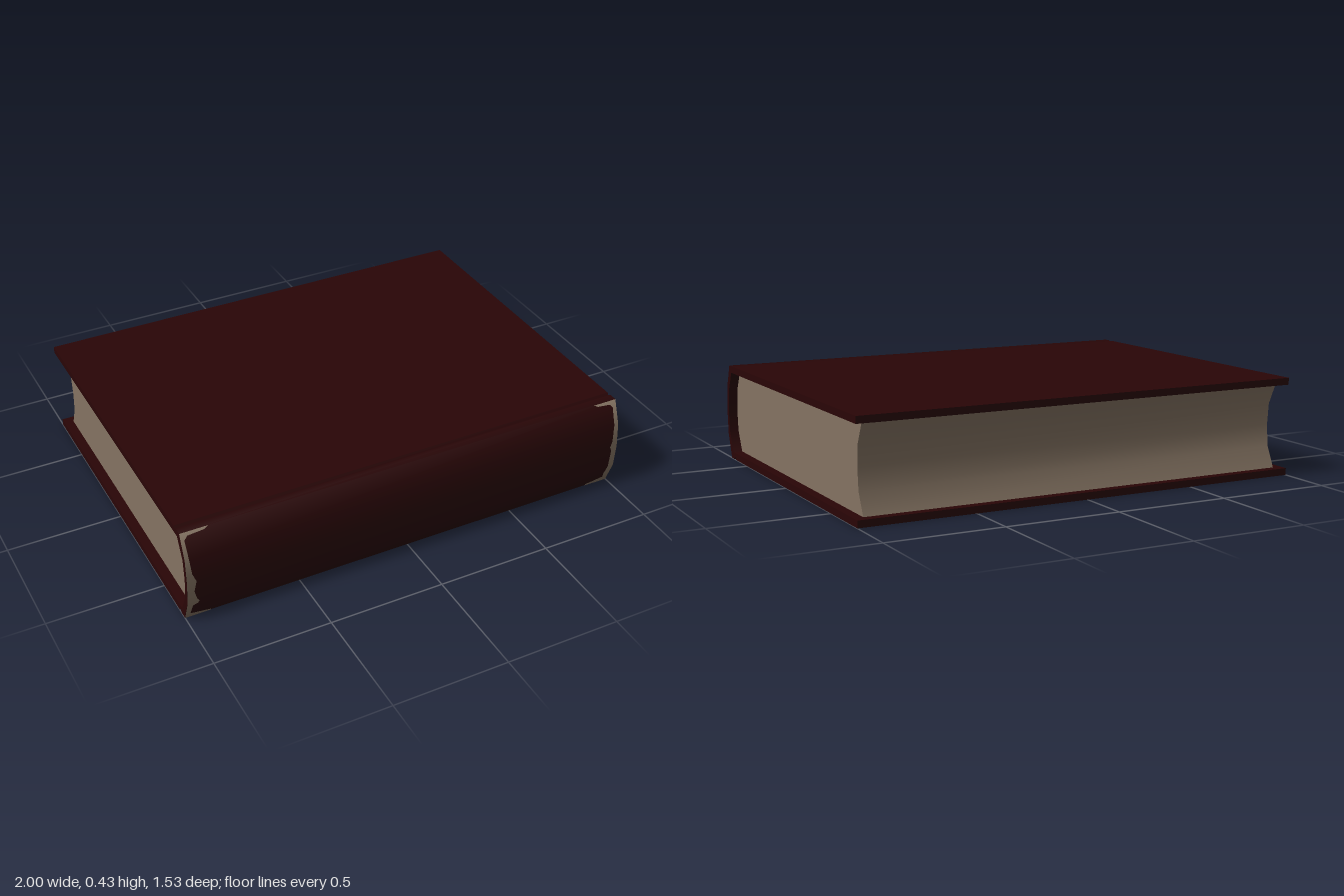
import * as THREE from 'three';
import { toCreasedNormals } from 'three/addons/utils/BufferGeometryUtils.js';

const H = 0.425;    // total height
const BOARD = 0.03; // cover board thickness
const BACK = -0.763;
const HINGE = 0.67; // depth of the groove between board and spine
const GROOVE = 0.012;

// Rounded profiles as [z, y], from top to bottom
const spineOuter = [[0.715, H], [0.755, 0.32], [0.763, H / 2], [0.755, 0.105], [0.715, 0]];
const spineInner = [[0.69, H - BOARD], [0.734, 0.305], [0.742, H / 2], [0.734, 0.12], [0.69, BOARD]];
const foreEdge = [[-0.725, H - BOARD], [-0.683, 0.305], [-0.675, H / 2], [-0.683, 0.12], [-0.725, BOARD]];

// Extrudes a [z, y] outline along x; corners sharper than the crease angle stay hard
function extrudeAlongX(outline, halfWidth, crease) {
  const shape = new THREE.Shape(outline.map(([z, y]) => new THREE.Vector2(-z, y)));
  const geometry = new THREE.ExtrudeGeometry(shape, { depth: halfWidth * 2, bevelEnabled: false });
  geometry.translate(0, 0, -halfWidth);
  geometry.rotateY(Math.PI / 2);
  return toCreasedNormals(geometry, crease);
}

// Depth of the spine surface at a given height
function spineZ(y) {
  for (let i = 0; i < spineOuter.length - 1; i++) {
    const [z0, y0] = spineOuter[i];
    const [z1, y1] = spineOuter[i + 1];
    if (y <= y0 && y >= y1) return z0 + ((z1 - z0) * (y0 - y)) / (y0 - y1);
  }
  return spineOuter[0][0];
}

// Worn strip hugging one end of the spine; rows are [y, width], top to bottom
function wornStrip(rows, side) {
  const positions = [];
  const normals = [];
  const indices = [];
  rows.forEach(([y, width], i) => {
    const t = (2 * y) / H - 1;
    const tilt = t * Math.abs(t); // follows the rounded shading of the spine
    const xs = [side, side * (1 - width)].sort((a, b) => a - b);
    xs.forEach((x) => {
      positions.push(x, y, spineZ(y) + 0.002);
      normals.push(0, Math.sin(tilt), Math.cos(tilt));
    });
    if (i === 0) return;
    const a = (i - 1) * 2;
    indices.push(a, a + 2, a + 3, a, a + 3, a + 1);
  });
  const geometry = new THREE.BufferGeometry();
  geometry.setAttribute('position', new THREE.Float32BufferAttribute(positions, 3));
  geometry.setAttribute('normal', new THREE.Float32BufferAttribute(normals, 3));
  geometry.setIndex(indices);
  return geometry;
}

export function createModel() {
  const leather = new THREE.MeshStandardMaterial({ color: 0x290506 });
  leather.name = 'dark red leather';
  const paper = new THREE.MeshStandardMaterial({ color: 0x847362 });
  paper.name = 'aged paper';

  const book = new THREE.Group();
  book.name = 'book';
  const add = (name, geometry, material) => {
    const mesh = new THREE.Mesh(geometry, material);
    mesh.name = name;
    book.add(mesh);
  };

  // Two flat boards, each chamfered into its hinge groove
  const bottomBoard = [
    [BACK, 0], [BACK, BOARD], [HINGE, BOARD], [HINGE, GROOVE], [HINGE - 0.01, 0],
  ];
  const topBoard = bottomBoard.map(([z, y]) => [z, H - y]);
  add('bottomBoard', extrudeAlongX(bottomBoard, 1, 0.5), leather);
  add('topBoard', extrudeAlongX(topBoard, 1, 0.5), leather);

  // Rounded spine, shaded smoothly over its shoulders
  const spine = [
    [HINGE, H - GROOVE], [HINGE + 0.01, H],
    ...spineOuter,
    [HINGE + 0.01, 0], [HINGE, GROOVE], [HINGE, BOARD],
    ...[...spineInner].reverse(),
    [HINGE, H - BOARD],
  ];
  add('spine', extrudeAlongX(spine, 1, 1.25), leather);

  // Page block, set in from the cover: rounded at the spine, hollowed at the fore edge
  add('pages', extrudeAlongX([...spineInner, ...[...foreEdge].reverse()], 0.96, 0.7), paper);

  // Worn patches at both ends of the spine
  const wornRight = [
    [H, 0.12], [0.415, 0.1], [0.41, 0.03], [0.395, 0.015], [0.32, 0.018], [0.25, 0.025],
    [H / 2, 0.04], [0.16, 0.03], [0.12, 0.04], [0.105, 0.05], [0.09, 0.045], [0.08, 0.025],
    [0.025, 0.02], [0.017, 0.06], [0.008, 0.11], [0, 0.11],
  ];
  const wornLeft = [
    [H, 0.11], [0.415, 0.09], [0.409, 0.03], [0.395, 0.018], [0.32, 0.02], [0.24, 0.024],
    [H / 2, 0.034], [0.19, 0.025], [0.105, 0.027], [0.05, 0.03], [0.028, 0.025],
    [0.018, 0.07], [0.01, 0.11], [0, 0.11],
  ];
  add('wornSpineRight', wornStrip(wornRight, -1), paper);
  add('wornSpineLeft', wornStrip(wornLeft, 1), paper);

  return book;
}
